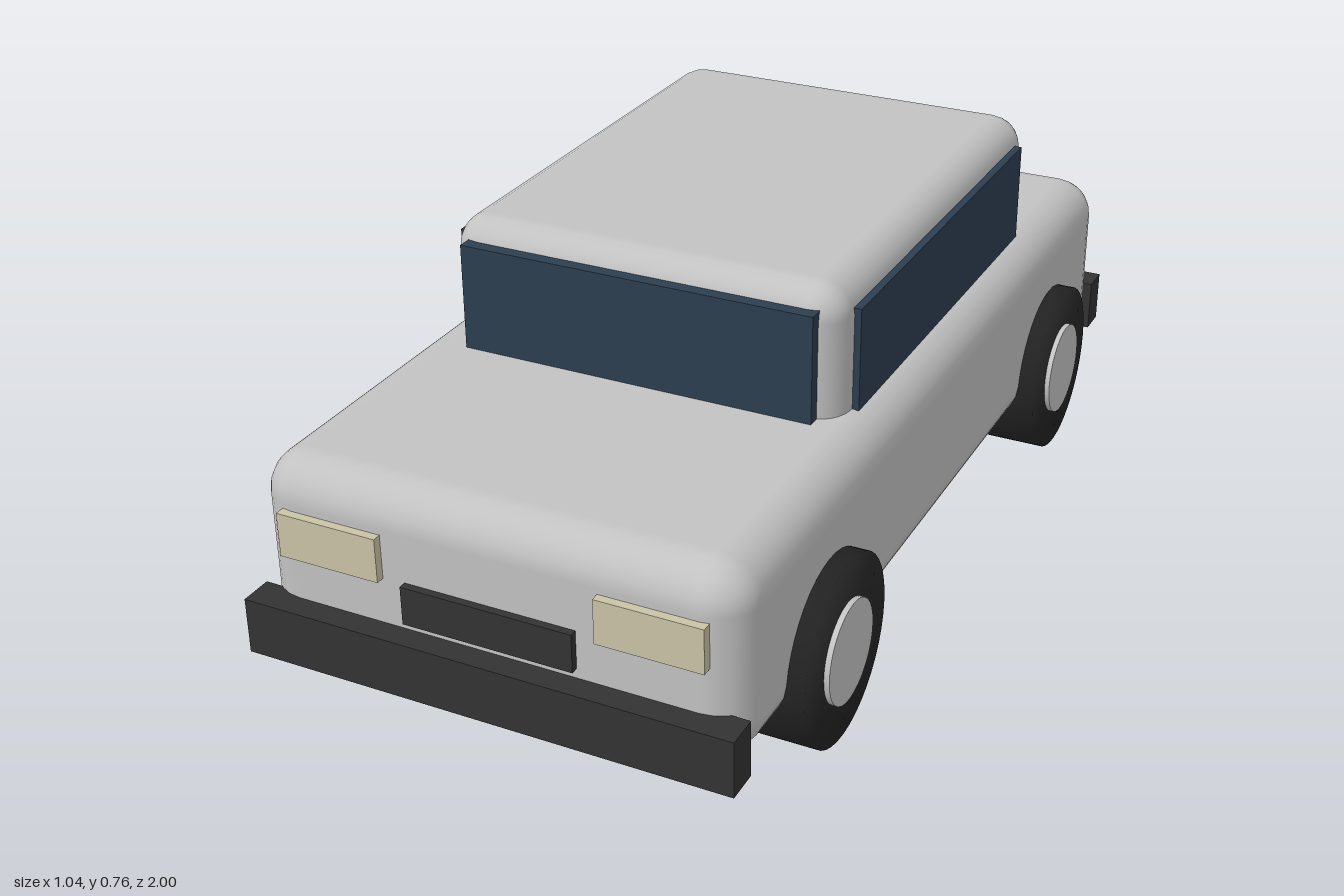
import * as THREE from 'three';
import { mergeVertices } from 'three/addons/utils/BufferGeometryUtils.js';
import { RoundedBoxGeometry } from 'three/addons/geometries/RoundedBoxGeometry.js';

function material(name, color) {
  const m = new THREE.MeshStandardMaterial({ color });
  m.name = name;
  return m;
}

export function createModel() {
  const car = new THREE.Group();
  car.name = 'car';

  const paint = material('silver paint', 0xc2c2c2);
  const glass = material('dark blue glass', 0x2c3e50);
  const trim = material('charcoal trim', 0x333333);
  const rubber = material('black rubber', 0x262626);
  const lamp = material('cream lamp', 0xcac3a6);
  const red = material('red lamp', 0xc0392b);
  const metal = material('hub metal', 0xc4c4c4);

  function add(name, geometry, mat, parent = car) {
    const mesh = new THREE.Mesh(geometry, mat);
    mesh.name = name;
    parent.add(mesh);
    return mesh;
  }

  // Box given by its extents on each axis; rounded when a radius is given
  function block(name, mat, [x0, x1], [y0, y1], [z0, z1], radius = 0) {
    const size = [x1 - x0, y1 - y0, z1 - z0];
    const geometry = radius
      ? new RoundedBoxGeometry(...size, 3, radius)
      : new THREE.BoxGeometry(...size);
    add(name, geometry, mat).position.set((x0 + x1) / 2, (y0 + y1) / 2, (z0 + z1) / 2);
  }

  // Body shell and cabin
  block('body', paint, [-0.477, 0.477], [0.127, 0.507], [-0.953, 0.953], 0.08);
  block('cabin', paint, [-0.402, 0.402], [0.42, 0.76], [-0.615, 0.407], 0.065);

  // Front and rear glass
  block('windshield', glass, [-0.36, 0.36], [0.49, 0.72], [0.395, 0.427]);
  block('rearWindow', glass, [-0.35, 0.35], [0.49, 0.715], [-0.635, -0.605]);

  // Bumpers and grille
  block('frontBumper', trim, [-0.482, 0.482], [0.127, 0.238], [0.935, 1]);
  block('rearBumper', trim, [-0.482, 0.482], [0.127, 0.238], [-1, -0.935]);
  block('grille', trim, [-0.168, 0.168], [0.257, 0.333], [0.94, 0.968]);

  // Tyre: cylinder with shading blended over its rims
  const tyre = new THREE.CylinderGeometry(0.18, 0.18, 0.147, 40).rotateZ(Math.PI / 2);
  tyre.deleteAttribute('normal');
  tyre.deleteAttribute('uv');
  const tyreGeometry = mergeVertices(tyre);
  tyreGeometry.computeVertexNormals();
  const hubGeometry = new THREE.CylinderGeometry(0.099, 0.099, 0.08, 32).rotateZ(Math.PI / 2);

  // Parts mirrored left and right
  for (const [side, s] of [['left', 1], ['right', -1]]) {
    const span = (a, b) => (s > 0 ? [a, b] : [-b, -a]);
    block(side + 'SideWindow', glass, span(0.39, 0.415), [0.49, 0.708], [-0.539, 0.337]);
    block(side + 'Headlight', lamp, span(0.212, 0.415), [0.33, 0.417], [0.94, 0.97]);
    block(side + 'TailLight', red, span(0.26, 0.418), [0.342, 0.42], [-0.97, -0.94]);

    for (const [end, z] of [['Front', 0.606], ['Rear', -0.606]]) {
      const wheel = new THREE.Group();
      wheel.name = side + end + 'Wheel';
      wheel.position.set(s * 0.4385, 0.18, z);
      add('tyre', tyreGeometry, rubber, wheel);
      add('hub', hubGeometry, metal, wheel).position.x = s * 0.044;
      car.add(wheel);
    }
  }

  return car;
}
